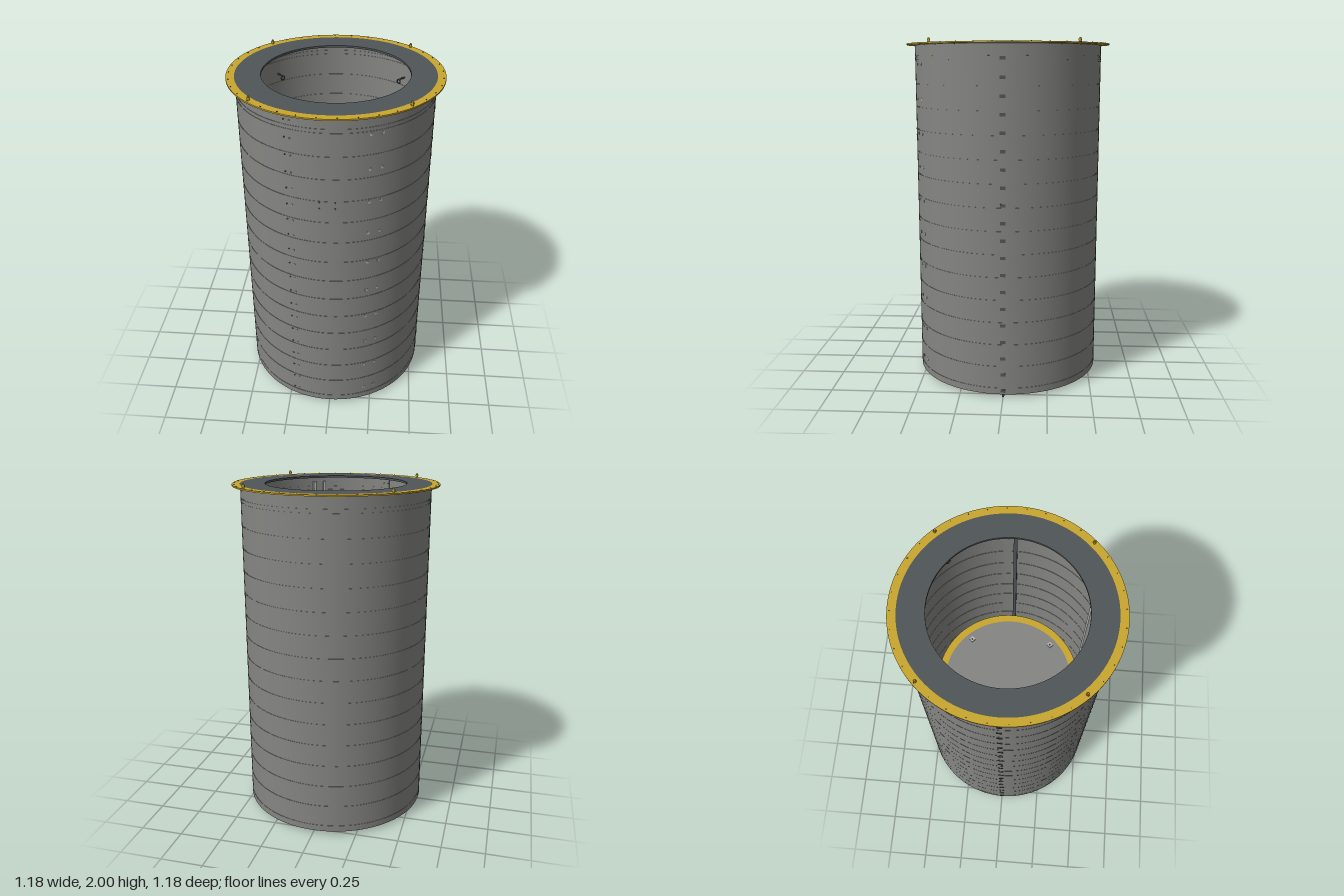
import * as THREE from 'three';
import { toCreasedNormals } from 'three/addons/utils/BufferGeometryUtils.js';

const mat = (name, color) => new THREE.MeshStandardMaterial({ name, color });

export function createModel() {
  const model = new THREE.Group();
  const steel = mat('steel grey', 0x858582);
  const dark = mat('dark slate', 0x505557);
  const yellow = mat('safety yellow', 0xc9a62d);
  const light = mat('light steel', 0xb4b4b2);

  const R = 0.545, WALL = 0.01, BOTTOM = 0.02, TOP = 1.97;

  const add = (parent, name, geometry, material) => {
    const mesh = new THREE.Mesh(geometry, material);
    mesh.name = name;
    parent.add(mesh);
    return mesh;
  };
  const group = (name) => {
    const g = new THREE.Group();
    g.name = name;
    model.add(g);
    return g;
  };
  const revolve = (points) => toCreasedNormals(
    new THREE.LatheGeometry(points.map(([r, y]) => new THREE.Vector2(r, y)), 96), 0.5);
  const ring = (ri, ro, y0, y1) => revolve([[ri, y0], [ro, y0], [ro, y1], [ri, y1], [ri, y0]]);
  // Place a mesh on the wall: angle in degrees from the front towards +x
  const onWall = (mesh, deg, r, y) => {
    const a = THREE.MathUtils.degToRad(deg);
    mesh.position.set(r * Math.sin(a), y, r * Math.cos(a));
    mesh.rotation.y = a;
    return mesh;
  };

  // Cylindrical wall with a shallow groove between the courses, outside and inside
  const seams = [];
  for (let i = 0; i < 15; i++) seams.push(0.06 + i * 0.13);
  seams.push(1.902);
  const outer = [], inner = [];
  const g = 0.002, d = 0.002, ri = R - WALL;
  for (const y of seams) {
    outer.push([R, y - g], [R - d, y - g], [R - d, y + g], [R, y + g]);
    inner.push([ri, y - g], [ri + d, y - g], [ri + d, y + g], [ri, y + g]);
  }
  add(model, 'wall', revolve([
    [ri, BOTTOM], [R, BOTTOM], ...outer, [R, TOP], [ri, TOP], ...inner.reverse(), [ri, BOTTOM],
  ]), steel);

  // Top cover and projecting flange
  add(model, 'topCover', ring(0.405, 0.547, TOP - 0.006, TOP + 0.006), dark);
  add(model, 'topFlange', ring(0.547, 0.592, TOP - 0.002, TOP + 0.006), yellow);

  // Flange bolts
  const bolts = group('flangeBolts');
  const boltGeo = new THREE.CylinderGeometry(0.003, 0.003, 0.004, 6);
  for (let i = 0; i < 36; i++) {
    onWall(add(bolts, 'flangeBolt', boltGeo, dark), i * 10 + 5, 0.58, TOP + 0.007);
  }

  // Lifting lugs on the flange
  const lugs = group('liftingLugs');
  for (const deg of [45, 135, 225, 315]) {
    onWall(add(lugs, 'lugPost', new THREE.CylinderGeometry(0.005, 0.006, 0.027, 12), yellow),
      deg, 0.573, 1.9865);
    onWall(add(lugs, 'lugCollar', new THREE.CylinderGeometry(0.009, 0.009, 0.01, 6), yellow),
      deg, 0.573, 1.988);
  }

  // Inner platform with a yellow edge and four pads
  const platform = group('platform');
  const DECK = 1.0;
  const disc = add(platform, 'deck', new THREE.CylinderGeometry(0.386, 0.386, 0.02, 96), steel);
  disc.position.y = DECK - 0.01;
  add(platform, 'deckEdge', ring(0.386, 0.43, DECK - 0.02, DECK), yellow);
  for (const deg of [45, 135, 225, 315]) {
    onWall(add(platform, 'pad', new THREE.BoxGeometry(0.028, 0.008, 0.028), light),
      deg, 0.345, DECK + 0.004);
    onWall(add(platform, 'padBolt', new THREE.CylinderGeometry(0.005, 0.005, 0.006, 8), dark),
      deg, 0.345, DECK + 0.011);
  }

  // Side rails with clips through the wall and feet below it
  const rails = group('sideRails');
  for (const deg of [90, 270]) {
    onWall(add(rails, 'sideRail', new THREE.BoxGeometry(0.02, 1.9, 0.02), dark), deg, 0.522, 0.98);
    onWall(add(rails, 'foot', new THREE.BoxGeometry(0.012, 0.03, 0.014), dark), deg, 0.53, 0.015);
    for (let i = 0; i < 20; i++) {
      onWall(add(rails, 'railClip', new THREE.BoxGeometry(0.03, 0.018, 0.012), dark),
        deg, R - 0.004, 0.04 + i * 0.0974);
    }
  }
  onWall(add(rails, 'cableRail', new THREE.BoxGeometry(0.035, 1.9, 0.02), dark), -63, 0.52, 0.98);

  // Light twin rails with their fixing plates outside
  const twin = group('twinRails');
  for (const deg of [22.7, 29.7]) {
    onWall(add(twin, 'twinRail', new THREE.BoxGeometry(0.016, 1.9, 0.03), light), deg, 0.521, 0.98);
    for (let i = 0; i < 10; i++) {
      onWall(add(twin, 'fixingPlate', new THREE.BoxGeometry(0.013, 0.014, 0.004), light),
        deg, R, 0.105 + i * 0.195);
    }
  }

  // Bolted joint strip, with bolt heads on both faces
  const joint = group('jointStrip');
  onWall(add(joint, 'strip', new THREE.BoxGeometry(0.05, 1.92, 0.006), steel), -22, 0.531, 0.99);
  const stud = new THREE.CylinderGeometry(0.004, 0.004, 0.028, 8).rotateX(Math.PI / 2);
  for (let i = 0; i < 20; i++) {
    onWall(add(joint, 'jointBolt', stud, dark), -23.8, 0.5355, 0.075 + i * 0.0975);
    onWall(add(joint, 'jointBolt', stud, light), -20.5, 0.5355, 0.075 + i * 0.0975);
  }

  // Four fixings on the front
  const fixings = group('frontFixings');
  for (const x of [-4.7, 4]) {
    for (const y of [1.445, 1.482]) onWall(add(fixings, 'fixing', stud, dark), x, 0.536, y);
  }

  // Eye hooks inside the wall, near both ends
  const hooks = group('eyeHooks');
  for (const deg of [45, 135, 225, 315]) {
    for (const y of [0.2, 1.8]) {
      const arm = new THREE.CylinderGeometry(0.005, 0.005, 0.05, 8).rotateX(Math.PI / 2);
      onWall(add(hooks, 'hookArm', arm, dark), deg, 0.515, y);
      onWall(add(hooks, 'hookEye', new THREE.TorusGeometry(0.012, 0.004, 8, 16), dark),
        deg, 0.488, y - 0.012);
    }
  }
  return model;
}
